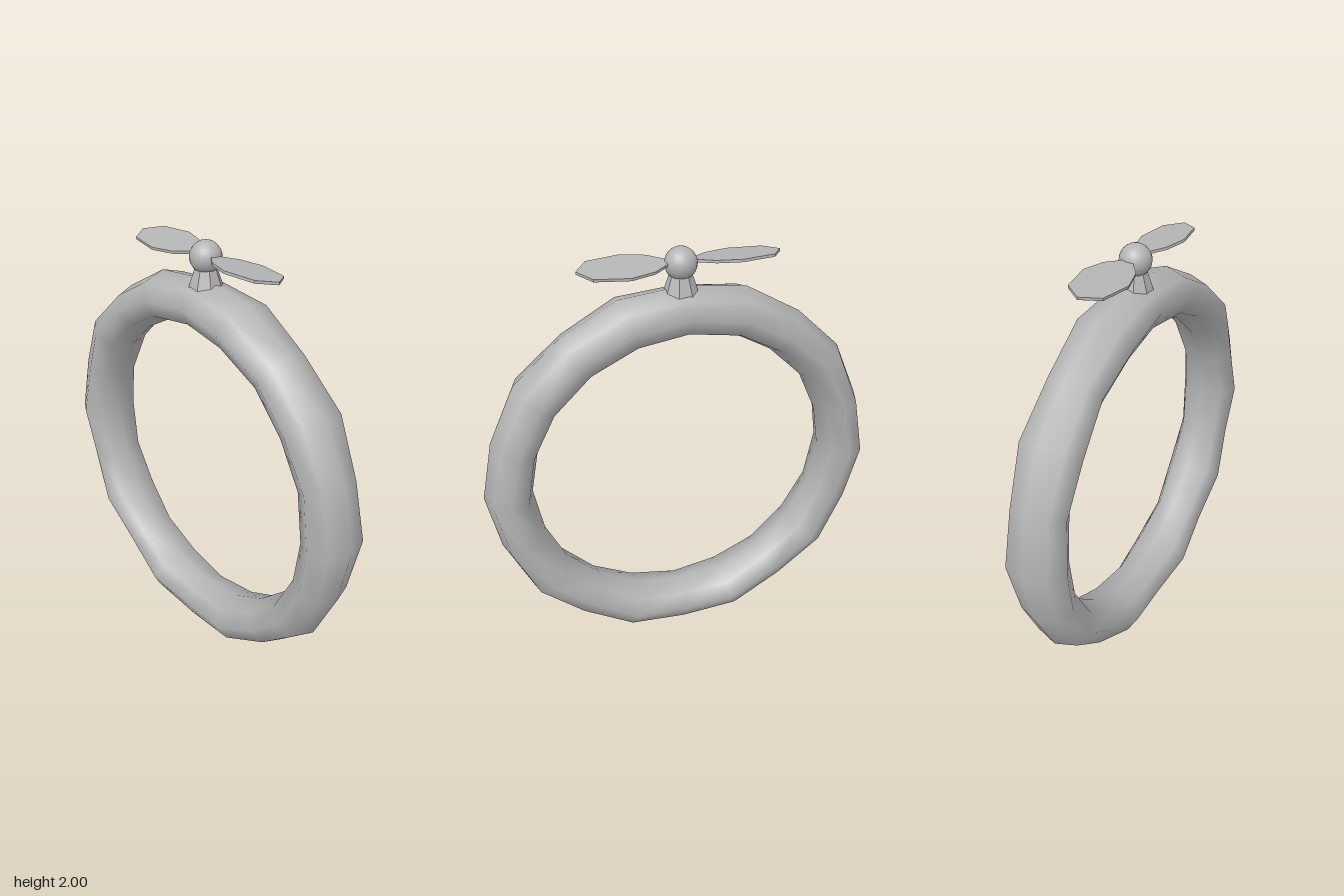
import * as THREE from 'three';

const grey = new THREE.MeshStandardMaterial({ color: 0xb4b4b4 });
grey.name = 'plain grey';
const facetedGrey = grey.clone();
facetedGrey.name = 'plain grey faceted';
facetedGrey.flatShading = true;

// Closed loop of oval octagons, alternating between a wide and a narrow section
function ringGeometry(steps = 20, sides = 8) {
  const positions = [], index = [];
  for (let i = 0; i < steps; i++) {
    const a = (i / steps) * Math.PI * 2 + 0.015;
    const wide = i % 2 === 0;
    const centre = wide ? 0.817 : 0.808;
    const radial = wide ? 0.11 : 0.107;
    const depth = wide ? 0.148 : 0.13;
    for (let j = 0; j < sides; j++) {
      const b = (j / sides) * Math.PI * 2;
      const r = centre + radial * Math.cos(b);
      positions.push(r * Math.cos(a), r * Math.sin(a), depth * Math.sin(b));
      const i2 = (i + 1) % steps, j2 = (j + 1) % sides;
      const p = i * sides + j, q = i2 * sides + j, s = i2 * sides + j2, t = i * sides + j2;
      index.push(p, q, s, p, s, t);
    }
  }
  const g = new THREE.BufferGeometry();
  g.setAttribute('position', new THREE.Float32BufferAttribute(positions, 3));
  g.setIndex(index);
  g.computeVertexNormals();
  return g;
}

// Flat leaf-shaped blade pointing along +x
function bladeGeometry() {
  const edge = [[0.05, 0.015], [0.13, 0.075], [0.235, 0.104], [0.385, 0.078]];
  const outline = [...edge, [0.44, 0], ...edge.map(([x, y]) => [x, -y]).reverse()];
  const shape = new THREE.Shape(outline.map(([x, y]) => new THREE.Vector2(x, y)));
  const g = new THREE.ExtrudeGeometry(shape, { depth: 0.012, bevelEnabled: false });
  g.translate(0, 0, -0.006);
  g.rotateX(-Math.PI / 2);
  return g;
}

export function createModel() {
  const model = new THREE.Group();
  model.name = 'propellerRing';
  const add = (name, geometry, material, y) => {
    const mesh = new THREE.Mesh(geometry, material);
    mesh.name = name;
    mesh.position.y = y;
    model.add(mesh);
    return mesh;
  };

  add('ring', ringGeometry(), grey, 0.915);

  // Tapered mount, sunk a little into the top of the ring
  const mount = new THREE.CylinderGeometry(0.04, 0.084, 0.13, 8);
  mount.rotateY(Math.PI / 8);
  add('mount', mount, facetedGrey, 1.845);

  add('hub', new THREE.SphereGeometry(0.07, 20, 14), grey, 1.93);

  // Two blades, pitched in opposite directions
  const blade = bladeGeometry();
  blade.rotateX(-0.12);
  for (const [name, turn] of [['leftBlade', 0], ['rightBlade', Math.PI]]) {
    add(name, blade, facetedGrey, 1.938).rotation.y = turn;
  }
  return model;
}
